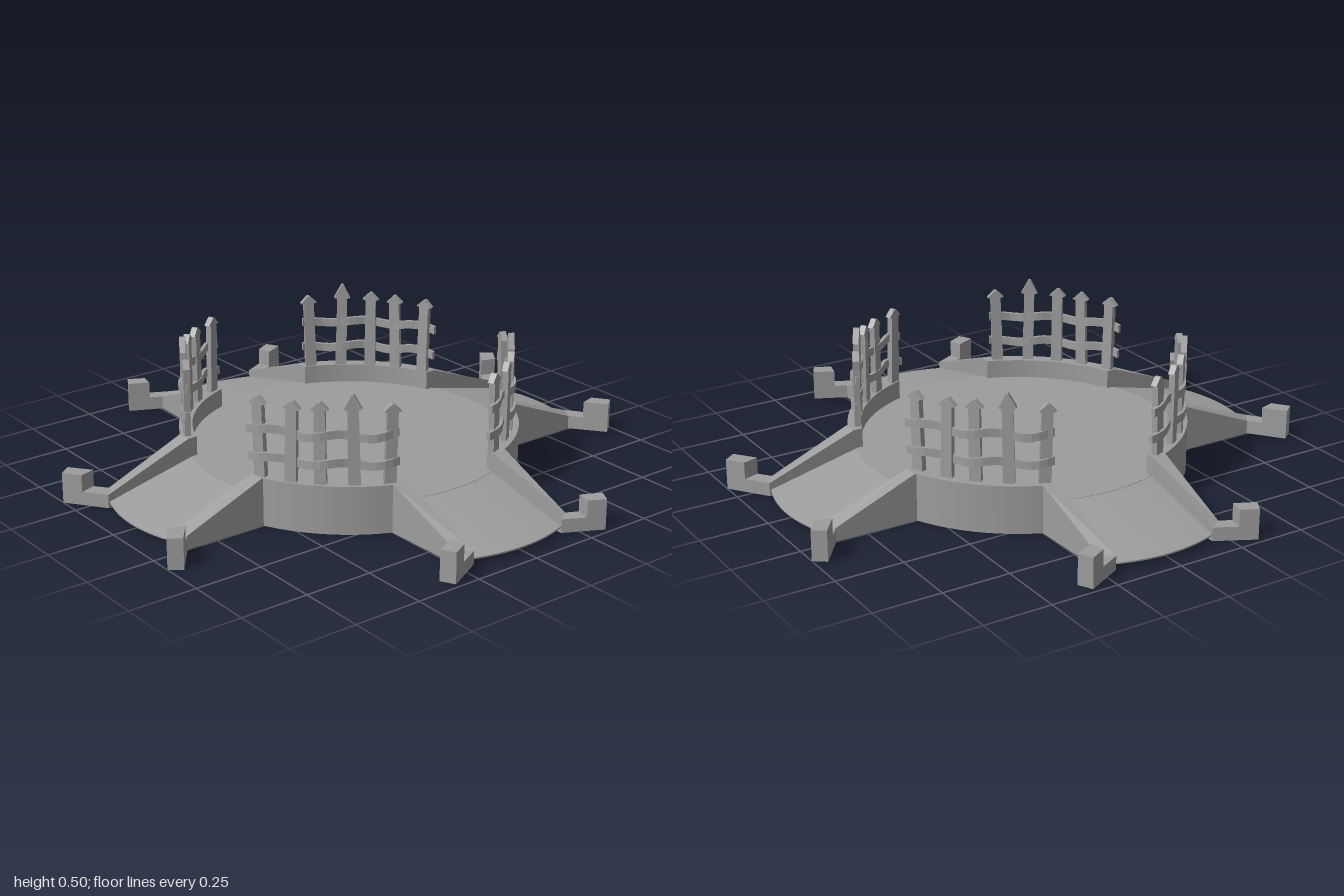
import * as THREE from 'three';

const WALL = 0.175, FLOOR = 0.105, LOW = 0.05, POST = 0.112, BASE = 0.018;

// Upright prism over a plan of [x, z] corners, with its own top height at each corner
function prism(plan, tops) {
  const pts = plan.map(([x, z], i) => ({ x, z, t: tops[i] }));
  const area = pts.reduce((s, p, i) => {
    const q = pts[(i + 1) % pts.length];
    return s + p.x * q.z - q.x * p.z;
  }, 0);
  if (area > 0) pts.reverse();
  const pos = [];
  const top = p => [p.x, p.t, p.z], low = p => [p.x, 0, p.z];
  const tri = (a, b, c) => pos.push(...a, ...b, ...c);
  pts.forEach((p, i) => {
    const q = pts[(i + 1) % pts.length];
    tri(low(p), low(q), top(q));
    tri(low(p), top(q), top(p));
  });
  for (let i = 1; i < pts.length - 1; i++) {
    tri(top(pts[0]), top(pts[i]), top(pts[i + 1]));
    tri(low(pts[0]), low(pts[i + 1]), low(pts[i]));
  }
  const g = new THREE.BufferGeometry();
  g.setAttribute('position', new THREE.Float32BufferAttribute(pos, 3));
  g.computeVertexNormals();
  return g;
}

// Move every vertex of a geometry by a rule
function warp(g, rule) {
  const p = g.attributes.position, v = new THREE.Vector3();
  for (let i = 0; i < p.count; i++) {
    v.fromBufferAttribute(p, i);
    rule(v);
    p.setXYZ(i, v.x, v.y, v.z);
  }
  g.computeVertexNormals();
  return g;
}

// Ramp running from just under the floor's rim down to a bowed toe
function rampGeometry(reach) {
  return warp(new THREE.BoxGeometry(0.4, 1, 1, 16, 1, 1), v => {
    const z0 = Math.sqrt(0.586 ** 2 - v.x ** 2), z1 = reach - 0.037 * (v.x / 0.2) ** 2;
    const f = v.z + 0.5, start = FLOOR - 0.0005;
    v.y = v.y > 0 ? start + (0.024 - start) * f : BASE + 0.0005;
    v.z = z0 + (z1 - z0) * f;
  });
}

// Curved parapet filling one quadrant between two ramps
function parapetGeometry() {
  const s = new THREE.Shape();
  const a = Math.atan2(0.25, 0.56), b = Math.atan2(0.195, 0.53);
  s.moveTo(0.195, 0.53);
  s.lineTo(0.195, 0.565);
  s.lineTo(0.25, 0.565);
  s.absarc(0, 0, 0.613, Math.PI / 2 - a, a, true);
  s.lineTo(0.565, 0.25);
  s.lineTo(0.565, 0.195);
  s.lineTo(0.53, 0.195);
  s.absarc(0, 0, 0.565, b, Math.PI / 2 - b, false);
  const g = new THREE.ExtrudeGeometry(s, { depth: WALL, bevelEnabled: false, curveSegments: 24 });
  return g.rotateX(Math.PI / 2).translate(0, WALL, 0);
}

// Flat picket with an overhanging pointed head
function picketGeometry(height, head) {
  const w = 0.021, o = 0.031, n = height - head;
  const s = new THREE.Shape([
    [-w, 0], [w, 0], [w * 0.9, n], [o, n + 0.004], [0.004, height],
    [-0.004, height], [-o, n + 0.004], [-w * 0.9, n]
  ].map(p => new THREE.Vector2(...p)));
  return new THREE.ExtrudeGeometry(s, { depth: 0.022, bevelEnabled: false }).translate(0, 0, -0.011);
}

// Wavy rail bent round the arc, weaving past the pickets
function railGeometry(y, phase) {
  return warp(new THREE.BoxGeometry(1, 0.03, 0.014, 20, 1, 1), v => {
    const phi = THREE.MathUtils.degToRad(46.4 - v.x * 51.5);
    const wave = Math.cos((v.x * 5 + phase) * Math.PI);
    const r = 0.588 + v.z + 0.011 * wave;
    v.set(r * Math.cos(phi), y + v.y + 0.006 * Math.sin(v.x * 15 + phase), r * Math.sin(phi));
  });
}

export function createModel() {
  const model = new THREE.Group();
  const smooth = new THREE.MeshStandardMaterial({ color: 0x9d9d9d });
  const flat = new THREE.MeshStandardMaterial({ color: 0x9d9d9d, flatShading: true });
  const add = (parent, name, geometry, material = flat) => {
    const m = new THREE.Mesh(geometry, material);
    m.name = name;
    parent.add(m);
    return m;
  };

  // Round floor
  add(model, 'floor', new THREE.CylinderGeometry(0.59, 0.59, FLOOR - BASE, 96), smooth)
    .position.y = (FLOOR + BASE) / 2;

  // Four ramps and four curved parapets
  const parapet = parapetGeometry();
  for (let k = 0; k < 4; k++) {
    const turn = k * Math.PI / 2;
    add(model, 'ramp', rampGeometry(k % 2 ? 0.93 : 0.943)).rotation.y = turn;
    add(model, 'parapet', parapet, smooth).rotation.y = turn;
  }

  // Sloping ramp walls with splayed ends, as [across, along] plan corners
  const kinds = [
    { swap: false, inner: [0.195, 0.91], outer: [0.243, 0.877], tipIn: [0.333, 0.982], tipOut: [0.36, 0.933] },
    { swap: true, inner: [0.195, 0.9], outer: [0.247, 0.866], tipIn: [0.333, 1.0], tipOut: [0.366, 0.957] }
  ];
  const mix = (a, b, t) => [a[0] + (b[0] - a[0]) * t, a[1] + (b[1] - a[1]) * t];
  for (const k of kinds) for (const sx of [1, -1]) for (const sz of [1, -1]) {
    const place = plan => plan.map(([a, l]) => k.swap ? [l * sx, a * sz] : [a * sx, l * sz]);
    const midIn = mix(k.inner, k.tipIn, 0.57), midOut = mix(k.outer, k.tipOut, 0.37);
    const side = new THREE.Group();
    side.name = 'rampWall';
    model.add(side);
    add(side, 'slopingWall', prism(place([[0.195, 0.565], k.inner, k.outer, [0.25, 0.565]]),
      [WALL, LOW, LOW, WALL]));
    add(side, 'splayedWall', prism(place([k.inner, midIn, midOut, k.outer]), [LOW, LOW, LOW, LOW]));
    add(side, 'endPost', prism(place([midIn, k.tipIn, k.tipOut, midOut]), [POST, POST, POST, POST]));
  }

  // Picket fence on each parapet: [angle, height above wall, head length, lean]
  const pickets = [
    [23.8, 0.285, 0.03, -0.03], [35.4, 0.325, 0.055, 0.02], [46.5, 0.295, 0.03, 0.01],
    [56.5, 0.29, 0.03, -0.02], [67.5, 0.29, 0.03, 0.03]
  ];
  for (let k = 0; k < 4; k++) {
    const fence = new THREE.Group();
    fence.name = 'fence';
    fence.rotation.y = k * Math.PI / 2;
    fence.position.x = -0.008;
    model.add(fence);
    for (const [deg, height, head, lean] of pickets) {
      const phi = THREE.MathUtils.degToRad(deg);
      const p = add(fence, 'picket', picketGeometry(height, head));
      p.position.set(0.585 * Math.cos(phi), WALL - 0.003, 0.585 * Math.sin(phi));
      p.rotation.set(0, Math.PI / 2 - phi, lean);
    }
    add(fence, 'lowerRail', railGeometry(0.248, 0));
    add(fence, 'upperRail', railGeometry(0.348, 0.2));
  }
  return model;
}
